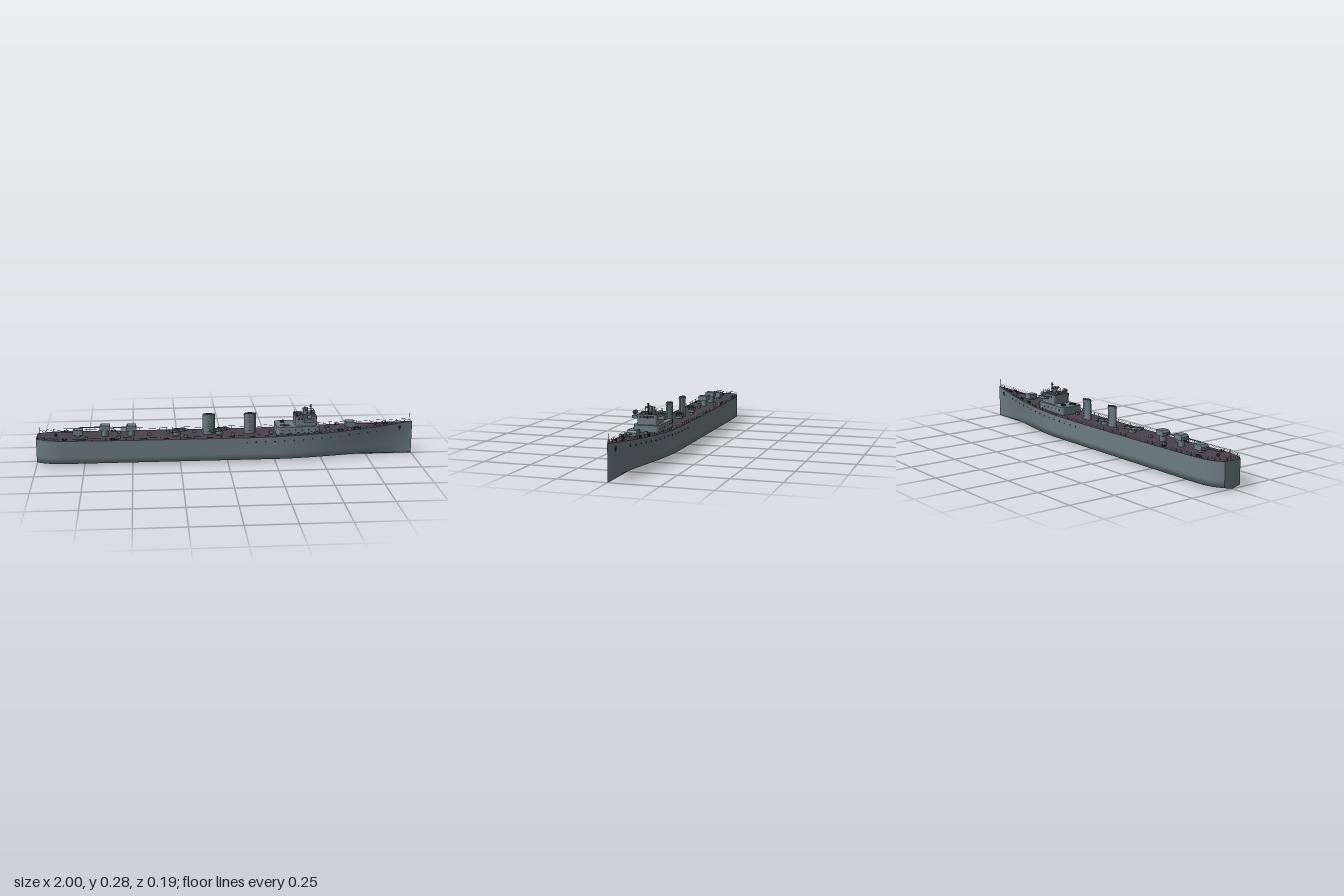
import * as THREE from 'three';
import { mergeGeometries } from 'three/addons/utils/BufferGeometryUtils.js';

const mat = (name, color, side = THREE.FrontSide) => {
  const m = new THREE.MeshStandardMaterial({ color, side });
  m.name = name;
  return m;
};

// Hull lines: deck height, half beam at deck and at the chine
const clamp = (v) => Math.min(1, Math.max(0, v));
const deckY = (x) => 0.132 + 0.046 * Math.pow(clamp((x - 0.1) / 0.9), 1.7) + 0.006 * Math.pow(clamp((-x - 0.3) / 0.7), 2);
const stern = (x) => Math.sqrt(1 - Math.pow(0.85 * clamp((-0.85 - x) / 0.15), 2));
const beam = (x) => Math.max(0.0006, 0.093 * stern(x) * (1 - Math.pow(clamp((x - 0.3) / 0.7), 1.8)));
const chine = (x) => {
  const t = clamp((x - 0.25) / 0.75);
  return Math.max(0.0004, Math.min(beam(x), 0.093 * stern(x) * (1 - t * t * (3 - 2 * t))));
};
const sideZ = (x, y) => chine(x) + (beam(x) - chine(x)) * Math.pow(clamp(y / deckY(x)), 1.4);

// Half section from deck edge (0) to keel (6)
const section = (x, j) => {
  if (j > 4) return j === 5 ? [chine(x) * 0.5, 0.006] : [0, 0];
  const y = 0.012 + (deckY(x) - 0.012) * (1 - j / 4);
  return [sideZ(x, y), y];
};

// Surface over a grid of points
function grid(fn, nu, nv, flip) {
  const pos = [], idx = [];
  for (let i = 0; i <= nu; i++) for (let j = 0; j <= nv; j++) pos.push(...fn(i, j));
  for (let i = 0; i < nu; i++) for (let j = 0; j < nv; j++) {
    const a = i * (nv + 1) + j, b = a + nv + 1;
    if (flip) idx.push(a, a + 1, b, b, a + 1, b + 1);
    else idx.push(a, b, a + 1, b, b + 1, a + 1);
  }
  const g = new THREE.BufferGeometry();
  g.setAttribute('position', new THREE.Float32BufferAttribute(pos, 3));
  g.setIndex(idx);
  g.computeVertexNormals();
  return g;
}

const box = (w, h, d, x, y, z) => new THREE.BoxGeometry(w, h, d).translate(x, y, z);
const post = (r, h, x, y, z, n = 8) => new THREE.CylinderGeometry(r, r, h, n).translate(x, y + h / 2, z);
const barX = (r, l, x, y, z, n = 8) => new THREE.CylinderGeometry(r, r, l, n).rotateZ(Math.PI / 2).translate(x, y, z);
const barZ = (r, l, x, y, z, n = 8) => new THREE.CylinderGeometry(r, r, l, n).rotateX(Math.PI / 2).translate(x, y, z);

// Upright block with rounded plan corners
function roundedBlock(x0, x1, hz, y0, y1, r) {
  const s = new THREE.Shape();
  s.moveTo(x0 + r, -hz).lineTo(x1 - r, -hz).quadraticCurveTo(x1, -hz, x1, -hz + r);
  s.lineTo(x1, hz - r).quadraticCurveTo(x1, hz, x1 - r, hz).lineTo(x0 + r, hz);
  s.quadraticCurveTo(x0, hz, x0, hz - r).lineTo(x0, -hz + r).quadraticCurveTo(x0, -hz, x0 + r, -hz);
  return new THREE.ExtrudeGeometry(s, { depth: y1 - y0, bevelEnabled: false, curveSegments: 5 })
    .rotateX(-Math.PI / 2).translate(0, y0, 0);
}

// Guard rail: posts and two wires along a list of base points
function railing(points, h, r) {
  const parts = points.map((p) => post(r, h, p.x, p.y, p.z, 4));
  for (const f of [0.5, 1]) {
    const path = new THREE.CurvePath();
    for (let i = 0; i + 1 < points.length; i++) {
      path.add(new THREE.LineCurve3(...[points[i], points[i + 1]].map((p) => p.clone().setY(p.y + h * f))));
    }
    parts.push(new THREE.TubeGeometry(path, points.length * 2, r * 0.7, 4));
  }
  return mergeGeometries(parts);
}

export function createModel() {
  const grey = mat('hull grey', 0x6c7c80);
  const deckMat = mat('deck brown', 0x48424a);
  const dark = mat('dark fittings', 0x2b3033, THREE.DoubleSide);
  const ship = new THREE.Group();
  ship.name = 'warship';
  const add = (name, geo, material, parent = ship) => {
    const m = new THREE.Mesh(Array.isArray(geo) ? mergeGeometries(geo) : geo, material);
    m.name = name;
    parent.add(m);
    return m;
  };

  // Hull, transom and deck; stations bunch up toward both ends
  const N = 64, station = (i) => -Math.cos((Math.PI * i) / N);
  add('hull', grid((i, j) => {
    const x = station(i), [z, y] = section(x, j > 6 ? 12 - j : j);
    return [x, y, j > 6 ? -z : z];
  }, N, 12, true), grey);
  add('transom', grid((i, k) => {
    const [z, y] = section(-1, i);
    return [-1, y, k ? -z : z];
  }, 6, 1, true), grey);
  add('deck', grid((i, k) => {
    const x = station(i);
    return [x, deckY(x), k ? -beam(x) : beam(x)];
  }, N, 1, false), deckMat);

  // Guard rails, portholes, anchors and bollards on both sides
  for (const s of [1, -1]) {
    const side = s > 0 ? 'left' : 'right';
    const pts = [];
    for (let i = 0; i <= 56; i++) {
      const x = -0.99 + (1.98 * i) / 56;
      pts.push(new THREE.Vector3(x, deckY(x), s * Math.max(0, beam(x) - 0.003)));
    }
    add(side + 'GuardRail', railing(pts, 0.014, 0.0006), dark);
    const holes = [];
    for (let x = 0.1; x < 0.82; x += 0.05) {
      const y = deckY(x) - 0.026;
      holes.push(barZ(0.0042, 0.004, x, y, s * sideZ(x, y)));
    }
    add(side + 'Portholes', holes, dark);
    add(side + 'Anchor', [barZ(0.009, 0.006, 0.93, 0.147, s * sideZ(0.93, 0.147)),
      box(0.005, 0.024, 0.006, 0.93, 0.143, s * sideZ(0.93, 0.143))], dark);
    const bollards = [];
    for (const x of [-0.85, -0.6, 0.6, 0.69, 0.85]) for (const d of [-0.008, 0.008]) {
      bollards.push(post(0.004, 0.01, x + d, deckY(x), s * (beam(x) - 0.016)));
    }
    add(side + 'Bollards', bollards, dark);
  }
  const sternRail = [-1, -0.5, 0, 0.5, 1].map((k) => new THREE.Vector3(-0.99, deckY(-1), k * (beam(-0.99) - 0.003)));
  add('sternRail', railing(sternRail, 0.014, 0.0006), dark);
  add('flagstaffs', [post(0.0009, 0.05, -0.985, 0.138, 0, 5), post(0.0009, 0.045, 0.985, 0.176, 0, 5)], dark);

  // Deckhouse and bridge
  add('deckhouse', roundedBlock(0.26, 0.49, 0.067, 0.128, 0.178, 0.02), grey);
  add('bridge', roundedBlock(0.36, 0.475, 0.052, 0.178, 0.228, 0.012), grey);
  add('bridgeFloor', roundedBlock(0.364, 0.471, 0.048, 0.228, 0.2295, 0.012), deckMat);
  add('bridgeWings', box(0.05, 0.015, 0.168, 0.43, 0.2115, 0), grey);
  const windows = [];
  for (let i = 0; i < 5; i++) windows.push(box(0.002, 0.012, 0.0125, 0.4752, 0.217, (i - 2) * 0.0158));
  for (const s of [1, -1]) {
    for (const x of [0.38, 0.395]) windows.push(box(0.01, 0.011, 0.002, x, 0.217, s * 0.0522));
    for (let x = 0.29; x < 0.47; x += 0.035) windows.push(barZ(0.004, 0.002, x, 0.16, s * 0.067));
    add('searchlight', [barX(0.0105, 0.02, 0.43, 0.232, s * 0.075, 14), post(0.004, 0.012, 0.43, 0.218, s * 0.075)], grey);
    add('searchlightLens', barX(0.0085, 0.002, 0.4405, 0.232, s * 0.075, 14), dark);
  }
  add('windows', windows, dark);
  const corners = [[0.365, -1], [0.4, -1], [0.435, -1], [0.47, -1], [0.47, -0.33], [0.47, 0.33], [0.47, 1],
    [0.435, 1], [0.4, 1], [0.365, 1], [0.365, 0.33], [0.365, -0.33], [0.365, -1]];
  add('bridgeRail', railing(corners.map(([x, k]) => new THREE.Vector3(x, 0.228, k * 0.046)), 0.016, 0.0007), dark);

  // Director, rangefinder and mast above the bridge
  add('director', [post(0.012, 0.022, 0.42, 0.228, 0, 14), box(0.026, 0.014, 0.02, 0.42, 0.256, 0),
    barZ(0.004, 0.042, 0.42, 0.257, 0), barZ(0.006, 0.006, 0.42, 0.257, 0.022), barZ(0.006, 0.006, 0.42, 0.257, -0.022)], grey);
  add('compass', [post(0.005, 0.014, 0.455, 0.228, 0.016), post(0.005, 0.014, 0.455, 0.228, -0.016),
    box(0.02, 0.012, 0.03, 0.385, 0.235, 0)], grey);
  add('mast', [post(0.0028, 0.055, 0.45, 0.228, 0), barZ(0.0018, 0.014, 0.45, 0.279, 0), barX(0.003, 0.012, 0.447, 0.272, 0)], dark);
  add('deckhouseFittings', [box(0.05, 0.004, 0.006, 0.305, 0.18, 0.035), box(0.006, 0.004, 0.045, 0.305, 0.18, 0.035),
    box(0.02, 0.01, 0.02, 0.3, 0.183, -0.03)], dark);

  // Oval funnels with dark tops, rims, rungs and steam pipes
  for (const x of [-0.097, 0.122]) {
    const funnel = new THREE.Group();
    funnel.name = 'funnel';
    funnel.position.set(x, 0.13, 0);
    ship.add(funnel);
    const oval = (r, y, h) => new THREE.CylinderGeometry(r, r, h, 28).scale(1, 1, 0.55).translate(0, y + h / 2, 0);
    add('funnelCasing', [oval(0.03, 0, 0.11), oval(0.032, 0.1, 0.004)], grey, funnel);
    add('funnelTop', oval(0.027, 0.11, 0.001), dark, funnel);
    add('steamPipe', post(0.003, 0.112, 0.032, 0, 0), grey, funnel);
    const rungs = [];
    for (const s of [1, -1]) for (let y = 0.02; y < 0.1; y += 0.014) rungs.push(box(0.008, 0.0015, 0.002, 0, y, s * 0.0172));
    add('funnelRungs', rungs, dark, funnel);
  }

  // Gun mounts: x, house base height, barrel reach, facing
  for (const [x, y, reach, dir] of [[0.663, 0.157, 0.125, 1], [-0.505, 0.162, 0.115, -1],
    [-0.643, 0.166, 0.137, -1], [-0.785, 0.145, 0.135, -1]]) {
    const gun = new THREE.Group();
    gun.name = 'gunMount';
    gun.position.set(x, y, 0);
    gun.rotation.y = dir > 0 ? 0 : Math.PI;
    ship.add(gun);
    const base = y - deckY(x);
    add('gunPedestal', post(0.018, base, 0, -base, 0, 16), grey, gun);
    const house = new THREE.Shape();
    house.moveTo(-0.027, 0).lineTo(0.027, 0).lineTo(0.027, 0.018).lineTo(0.018, 0.028).lineTo(-0.027, 0.028);
    add('gunHouse', new THREE.ExtrudeGeometry(house, { depth: 0.048, bevelEnabled: false }).translate(0, 0, -0.024), grey, gun);
    add('gunBarrel', [barX(0.0028, reach - 0.02, (reach + 0.02) / 2, 0.014, 0), barX(0.0045, 0.03, 0.04, 0.014, 0)], grey, gun);
  }

  // Torpedo mounts trained off the centreline
  for (const [x, angle] of [[-0.265, 0.45], [-0.04, 0.45]]) {
    const mount = new THREE.Group();
    mount.name = 'torpedoMount';
    mount.position.set(x, deckY(x), 0);
    mount.rotation.y = angle;
    ship.add(mount);
    add('turntable', post(0.02, 0.016, 0, 0, 0, 18), grey, mount);
    add('torpedoTubes', [-1, 0, 1].map((k) => barX(0.0055, 0.11, 0, 0.022, k * 0.013, 10)), grey, mount);
    add('tubeBands', [-0.035, 0, 0.035].map((d) => box(0.004, 0.013, 0.04, d, 0.022, 0)), dark, mount);
  }

  // Deck lockers, hatches and ventilators
  const lockers = [[-0.74, 0.06], [-0.57, 0.045], [-0.57, -0.045], [-0.41, 0], [-0.22, 0.055], [-0.17, -0.03],
    [0.03, 0.035], [0.235, 0.02], [0.54, 0.02], [0.54, -0.02]];
  add('deckLockers', lockers.map(([x, z]) => box(0.018, 0.012, 0.014, x, deckY(x) + 0.006, z)), grey);
  add('capstans', [0.8, -0.9].map((x) => post(0.007, 0.012, x, deckY(x), 0, 12)), dark);
  return ship;
}
